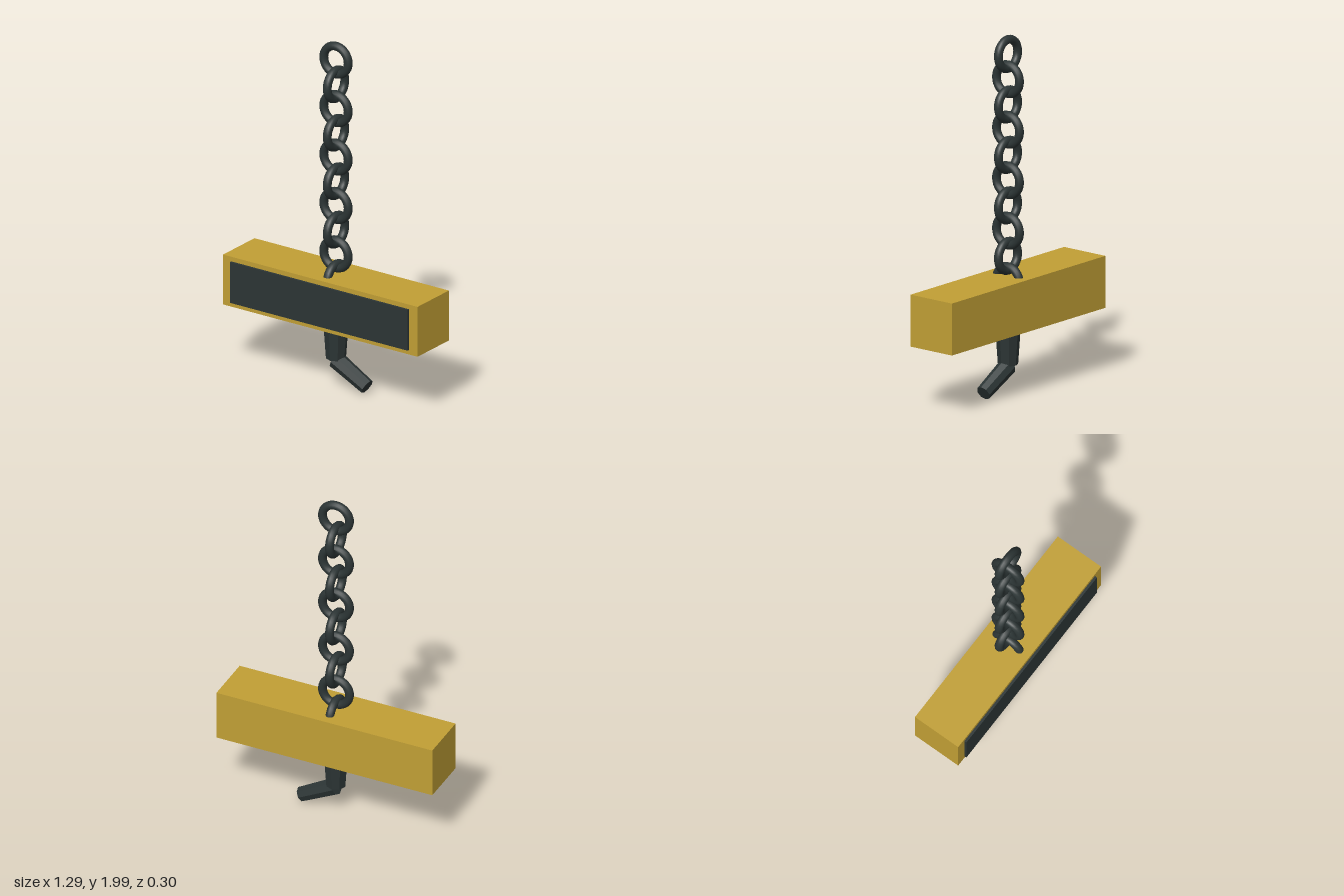
import * as THREE from 'three';

export function createModel() {
  const model = new THREE.Group();
  model.name = 'hangingSign';
  const iron = new THREE.MeshStandardMaterial({ color: 0x2c3535 });
  iron.name = 'dark iron';
  const gold = new THREE.MeshStandardMaterial({ color: 0xc19f35 });
  gold.name = 'gold';
  const zMid = -0.007;

  function add(name, geometry, material, x, y, z) {
    const mesh = new THREE.Mesh(geometry, material);
    mesh.name = name;
    mesh.position.set(x, y, z);
    model.add(mesh);
    return mesh;
  }

  // Chain: ten round links, each turned a quarter from the one above
  const link = new THREE.TorusGeometry(0.081, 0.024, 12, 32);
  for (let i = 0; i < 10; i++) {
    const ring = add('chainLink' + (i + 1), link, iron, 0, 1.895 - i * 0.1408, zMid);
    if (i % 2) ring.rotation.y = Math.PI / 2;
  }

  // Square beam with a thin dark panel on its front
  add('beam', new THREE.BoxGeometry(1.29, 0.29, 0.29), gold, 0, 0.515, zMid);
  add('frontPanel', new THREE.BoxGeometry(1.18, 0.236, 0.014), iron, 0, 0.515, 0.145);

  // Bent, tapering eight-sided handle below the beam
  function taper(name, from, to, r0, r1) {
    const length = from.distanceTo(to);
    const geometry = new THREE.CylinderGeometry(r0, r1, length, 8).toNonIndexed();
    geometry.computeVertexNormals();
    const mid = from.clone().lerp(to, 0.5);
    const mesh = add(name, geometry, iron, mid.x, mid.y, mid.z);
    mesh.quaternion.setFromUnitVectors(
      new THREE.Vector3(0, 1, 0), from.clone().sub(to).normalize());
  }
  taper('handleUpper', new THREE.Vector3(0, 0.38, zMid), new THREE.Vector3(0, 0.165, zMid), 0.07, 0.055);
  taper('handleLower', new THREE.Vector3(0, 0.156, zMid), new THREE.Vector3(0.206, 0.044, zMid), 0.05, 0.043);

  return model;
}
